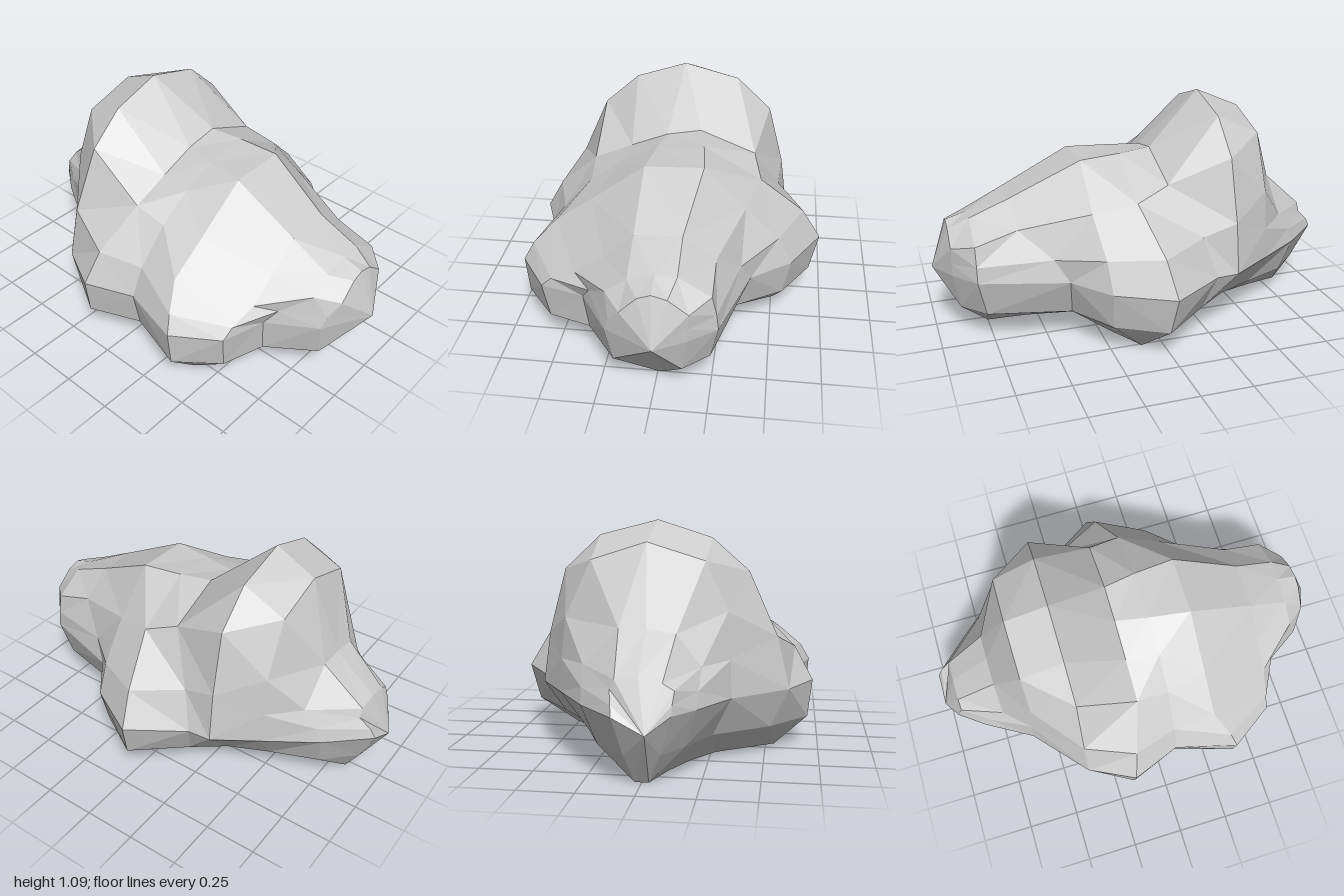
import * as THREE from 'three';

// Top of the rock: one row per cross-section, x then [z, y] from back to front
const crests = [
  [-0.91, [[-0.12, 0.42], [-0.1, 0.46], [0, 0.47], [0.1, 0.45], [0.15, 0.42]]],
  [-0.71, [[-0.28, 0.48], [-0.12, 0.64], [0, 0.64], [0.13, 0.62], [0.24, 0.48]]],
  [-0.57, [[-0.39, 0.66], [-0.27, 0.92], [-0.02, 1.0], [0.24, 0.92], [0.34, 0.7]]],
  [-0.36, [[-0.44, 0.86], [-0.27, 1.02], [0, 1.09], [0.25, 1.01], [0.42, 0.86]]],
  [-0.07, [[-0.38, 0.74], [-0.11, 0.85], [0.06, 0.82], [0.24, 0.75], [0.43, 0.67]]],
  [0.09, [[-0.42, 0.68], [-0.14, 0.84], [0.09, 0.82], [0.26, 0.74], [0.42, 0.63]]],
  [0.29, [[-0.36, 0.63], [-0.16, 0.83], [0.12, 0.82], [0.38, 0.63], [0.56, 0.5]]],
  [0.62, [[-0.25, 0.55], [-0.1, 0.66], [0.12, 0.65], [0.26, 0.53], [0.4, 0.43]]],
  [0.82, [[-0.25, 0.49], [-0.1, 0.58], [0, 0.58], [0.12, 0.55], [0.22, 0.48]]],
  [0.92, [[-0.16, 0.46], [-0.07, 0.53], [0, 0.55], [0.06, 0.53], [0.14, 0.45]]],
];

// Widest outline as [x, z], one point per cross-section
const beltBack = [[-0.99, -0.1], [-0.8, -0.27], [-0.57, -0.42], [-0.37, -0.55], [-0.26, -0.56],
  [0, -0.73], [0.26, -0.59], [0.41, -0.4], [0.82, -0.28], [0.92, -0.15]];
const beltFront = [[-0.94, 0.14], [-0.82, 0.23], [-0.6, 0.36], [-0.38, 0.61], [-0.16, 0.72],
  [0.08, 0.63], [0.38, 0.71], [0.59, 0.57], [0.65, 0.36], [0.87, 0.22]];

// Lobed footprint on the ground as [x, z]
const footBack = [[-0.83, -0.03], [-0.68, -0.06], [-0.5, -0.11], [-0.35, -0.17], [-0.1, -0.33],
  [0.1, -0.51], [0.2, -0.33], [0.31, -0.08], [0.55, -0.04], [0.75, -0.03]];
const footFront = [[-0.83, 0.03], [-0.66, 0.09], [-0.5, 0.17], [-0.36, 0.27], [-0.18, 0.54],
  [0.13, 0.33], [0.39, 0.54], [0.4, 0.3], [0.52, 0.15], [0.75, 0]];

// How far the low edge is drawn in from the belt towards the foot
const tuckBack = [0.5, 0.3, 0.4, 0.45, 0.3, 0.2, 0.15, 0.2, 0.15, 0.2];
const tuckFront = [0.5, 0.4, 0.45, 0.25, 0.12, 0.1, 0.1, 0.1, 0.1, 0.15];

const BELT = 0.32; // height of the widest line
const LOW = 0.14; // height where the underside starts to tuck in
const { lerp } = THREE.MathUtils;

// Foot, low edge, belt and shoulder of one side, from the ground up
function flank(x, [crestZ, crestY], [beltX, beltZ], [footX, footZ], tuck) {
  return [
    [footX, 0, footZ],
    [lerp(beltX, footX, tuck), LOW, lerp(beltZ, footZ, tuck)],
    [beltX, BELT, beltZ],
    [lerp(beltX, x, 0.3), lerp(BELT, crestY, 0.45), lerp(beltZ, crestZ, 0.3)],
  ];
}

// Closed loop: up the back, over the crest, down the front
function makeLoop([x, crest], i) {
  return [
    ...flank(x, crest[0], beltBack[i], footBack[i], tuckBack[i]),
    ...crest.map(([z, y]) => [x, y, z]),
    ...flank(x, crest[crest.length - 1], beltFront[i], footFront[i], tuckFront[i]).reverse(),
  ];
}

export function createModel() {
  const loops = crests.map(makeLoop);
  const count = loops[0].length;
  const last = loops[loops.length - 1];
  const leftTip = [-1, 0.25, 0.04];
  const rightTip = [1, 0.32, -0.01];
  const positions = [];
  const tri = (...corners) => corners.forEach((p) => positions.push(...p));
  const distance = (p, q) => Math.hypot(p[0] - q[0], p[1] - q[1], p[2] - q[2]);

  for (let j = 0; j < count; j++) {
    const k = (j + 1) % count;
    // Skin between neighbouring loops, split along the shorter diagonal
    for (let i = 0; i < loops.length - 1; i++) {
      const a = loops[i][j], b = loops[i][k];
      const c = loops[i + 1][k], d = loops[i + 1][j];
      if (distance(a, c) < distance(b, d)) {
        tri(a, b, c);
        tri(a, c, d);
      } else {
        tri(a, b, d);
        tri(b, c, d);
      }
    }
    // Pointed ends
    tri(leftTip, loops[0][k], loops[0][j]);
    tri(rightTip, last[j], last[k]);
  }

  const geometry = new THREE.BufferGeometry();
  geometry.setAttribute('position', new THREE.Float32BufferAttribute(positions, 3));
  geometry.computeVertexNormals();

  const rock = new THREE.Mesh(
    geometry,
    new THREE.MeshStandardMaterial({ color: 0xcccccc, flatShading: true })
  );
  rock.name = 'rock';

  const group = new THREE.Group();
  group.name = 'boulder';
  group.add(rock);
  return group;
}
